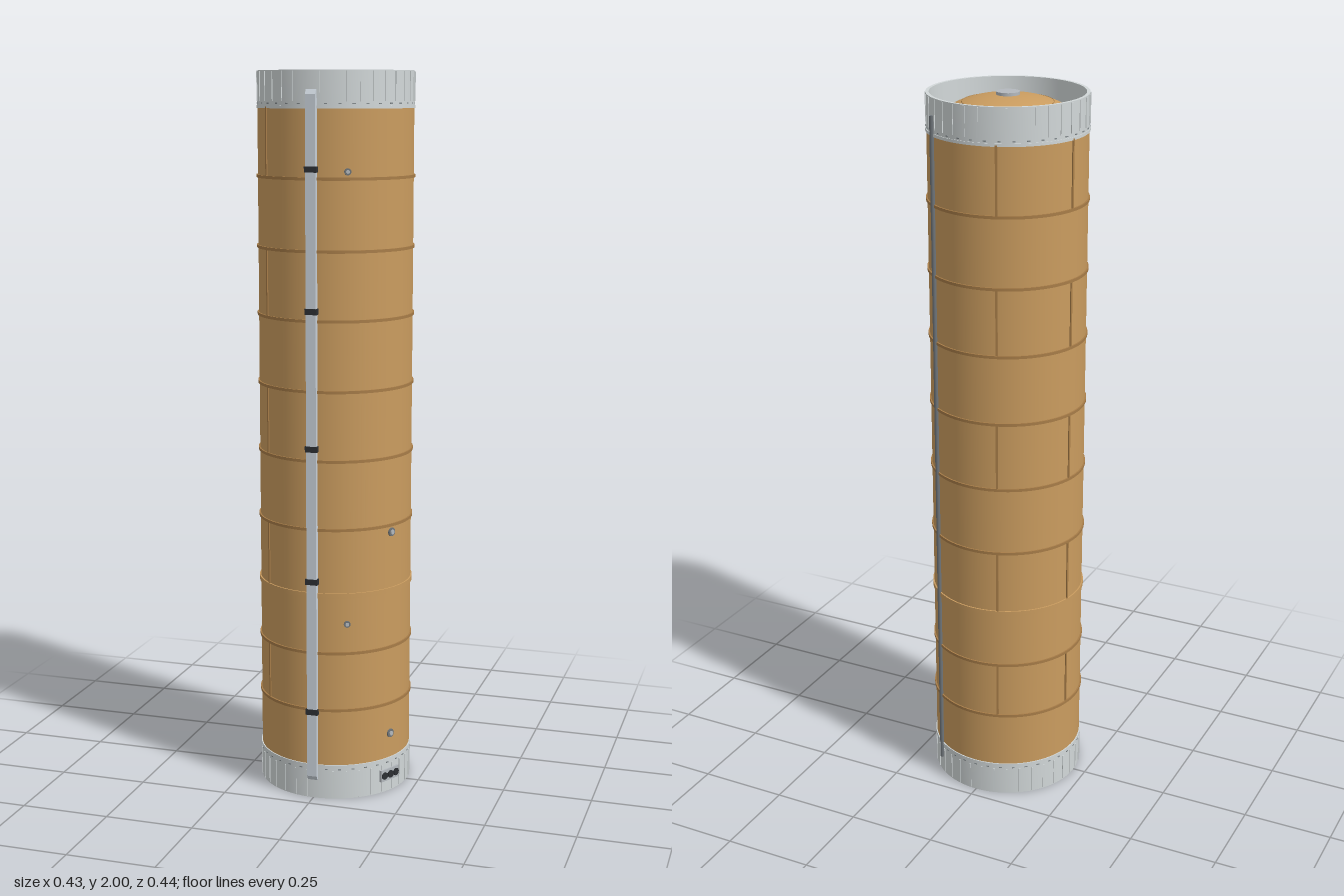
import * as THREE from 'three';
import { toCreasedNormals } from 'three/addons/utils/BufferGeometryUtils.js';

const mat = (name, color, side = THREE.FrontSide) => {
  const m = new THREE.MeshStandardMaterial({ color, side });
  m.name = name;
  return m;
};
const tan = mat('tan insulation', 0xca9c5f, THREE.DoubleSide);
const seamTan = mat('seam brown', 0xa87d48);
const skirtGrey = mat('skirt grey', 0xd2d8d9);
const lineGrey = mat('fastener grey', 0x868d90);
const raceGrey = mat('raceway grey', 0xcad2da);
const pipeGrey = mat('pipe grey', 0x6e7479);
const capGrey = mat('cap grey', 0xb4b9be);
const dark = mat('dark fitting', 0x2c2f33);

const SEG = 96, R = 0.2125;

export function createModel() {
  const model = new THREE.Group();
  model.name = 'rocketStage';
  model.position.z = -0.006;

  const add = (name, geo, material, x = 0, y = 0, z = 0, parent = model) => {
    const m = new THREE.Mesh(geo, material);
    m.name = name;
    m.position.set(x, y, z);
    parent.add(m);
    return m;
  };
  // closed ring with rectangular section
  const ring = (name, ri, ro, y0, y1, material) => {
    const p = [[ri, y0], [ro, y0], [ro, y1], [ri, y1], [ri, y0]].map(a => new THREE.Vector2(...a));
    return add(name, toCreasedNormals(new THREE.LatheGeometry(p, SEG), 0.6), material);
  };
  // part placed on the wall; degrees run from the front toward +x
  const onWall = (name, geo, material, deg, r, y) => {
    const t = THREE.MathUtils.degToRad(deg);
    const m = add(name, geo, material, Math.sin(t) * r, y, Math.cos(t) * r);
    m.rotation.y = t;
    return m;
  };

  // tank wall and its hoop joints, one of them a broader band
  add('tankWall', new THREE.CylinderGeometry(R, R, 1.81, SEG, 1, true), tan, 0, 1.0, 0);
  const hoops = [1.72, 1.53, 1.345, 1.155, 0.965, 0.775, 0.59, 0.425, 0.26];
  hoops.forEach(y => {
    const broad = y === 0.59;
    const h = broad ? 0.007 : 0.004;
    ring('hoop', 0.211, 0.2165, y - h, y + h, broad ? tan : seamTan);
  });

  // upright panel seams on every other course
  const levels = [1.905, ...hoops, 0.095];
  for (let i = 0; i < levels.length - 1; i += 2) {
    const h = levels[i] - levels[i + 1];
    for (const deg of [198, 257, 317])
      onWall('panelSeam', new THREE.BoxGeometry(0.006, h, 0.006), seamTan, deg, R, levels[i] - h / 2);
  }

  // end skirts with stringers, joint flange and fasteners
  for (const [y0, y1, joint] of [[0, 0.095, 0.095], [1.905, 2, 1.905]]) {
    ring('skirt', 0.2045, 0.2135, y0, y1, skirtGrey);
    ring('skirtFlange', 0.2075, 0.2155, joint - 0.004, joint + 0.004, skirtGrey);
    const out = joint > 1 ? 1 : -1;
    for (let i = 0; i < 36; i++) {
      onWall('stringer', new THREE.BoxGeometry(0.005, 0.078, 0.004), skirtGrey, i * 10 + 5, 0.2135, (y0 + y1) / 2 + out * 0.006);
      onWall('fastener', new THREE.BoxGeometry(0.008, 0.003, 0.003), lineGrey, i * 10, 0.2135, joint + out * 0.009);
    }
  }

  // domes inside the skirts, mirrored top and bottom
  const dome = (name, baseY, height, up) => {
    const g = new THREE.Group();
    g.name = name;
    g.position.y = baseY;
    if (!up) g.rotation.x = Math.PI;
    const pts = [];
    for (let i = 0; i <= 20; i++) {
      const a = i / 20 * Math.PI / 2;
      pts.push(new THREE.Vector2(Math.max(0.196 * Math.cos(a), 0), height * Math.sin(a)));
    }
    add('domeShell', new THREE.LatheGeometry(pts, SEG), tan, 0, 0, 0, g);
    const seam = add('domeSeam', new THREE.TorusGeometry(0.12, 0.001, 6, SEG), seamTan,
      0, height * Math.sqrt(1 - (0.12 / 0.196) ** 2), 0, g);
    seam.rotation.x = Math.PI / 2;
    add('domeCap', new THREE.CylinderGeometry(0.031, 0.031, 0.01, 24), capGrey, 0, height + 0.002, 0, g);
    model.add(g);
  };
  dome('topDome', 1.9, 0.092, true);
  dome('bottomDome', 0.1, 0.078, false);

  // cable raceway up the front, with sloped ends and clamps
  const side = new THREE.Shape([[0.207, 0.055], [0.219, 0.055], [0.227, 0.068], [0.227, 1.938], [0.219, 1.95], [0.207, 1.95]]
    .map(a => new THREE.Vector2(...a)));
  const race = new THREE.ExtrudeGeometry(side, { depth: 0.028, bevelEnabled: false });
  race.translate(0, 0, -0.014).rotateY(-Math.PI / 2);
  add('raceway', race, raceGrey);
  for (const y of [1.745, 1.372, 1.0, 0.63, 0.256])
    add('racewayClamp', new THREE.BoxGeometry(0.034, 0.016, 0.018), dark, 0, y, 0.2195);

  // slim pipe at the back
  onWall('rearPipe', new THREE.CylinderGeometry(0.006, 0.006, 1.905, 12), pipeGrey, 142, 0.2165, 1.0025);

  // small sensor ports
  for (const [deg, y, s] of [[25.5, 1.739, 0.85], [25.5, 0.509, 0.85], [63, 0.755, 1.1], [63, 0.17, 1.1]]) {
    const base = new THREE.CylinderGeometry(0.011 * s, 0.011 * s, 0.006, 16).rotateX(Math.PI / 2);
    const tip = new THREE.CylinderGeometry(0.006 * s, 0.006 * s, 0.01, 12).rotateX(Math.PI / 2);
    onWall('portBase', base, pipeGrey, deg, 0.2135, y);
    onWall('portTip', tip, capGrey, deg, 0.2145, y);
  }

  // connector panel on the lower skirt
  onWall('connectorPanel', new THREE.BoxGeometry(0.07, 0.034, 0.009), capGrey, 62, 0.2135, 0.05);
  for (const deg of [56, 62, 68])
    onWall('connector', new THREE.CylinderGeometry(0.0105, 0.0105, 0.012, 16).rotateX(Math.PI / 2), dark, deg, 0.2165, 0.05);

  return model;
}
